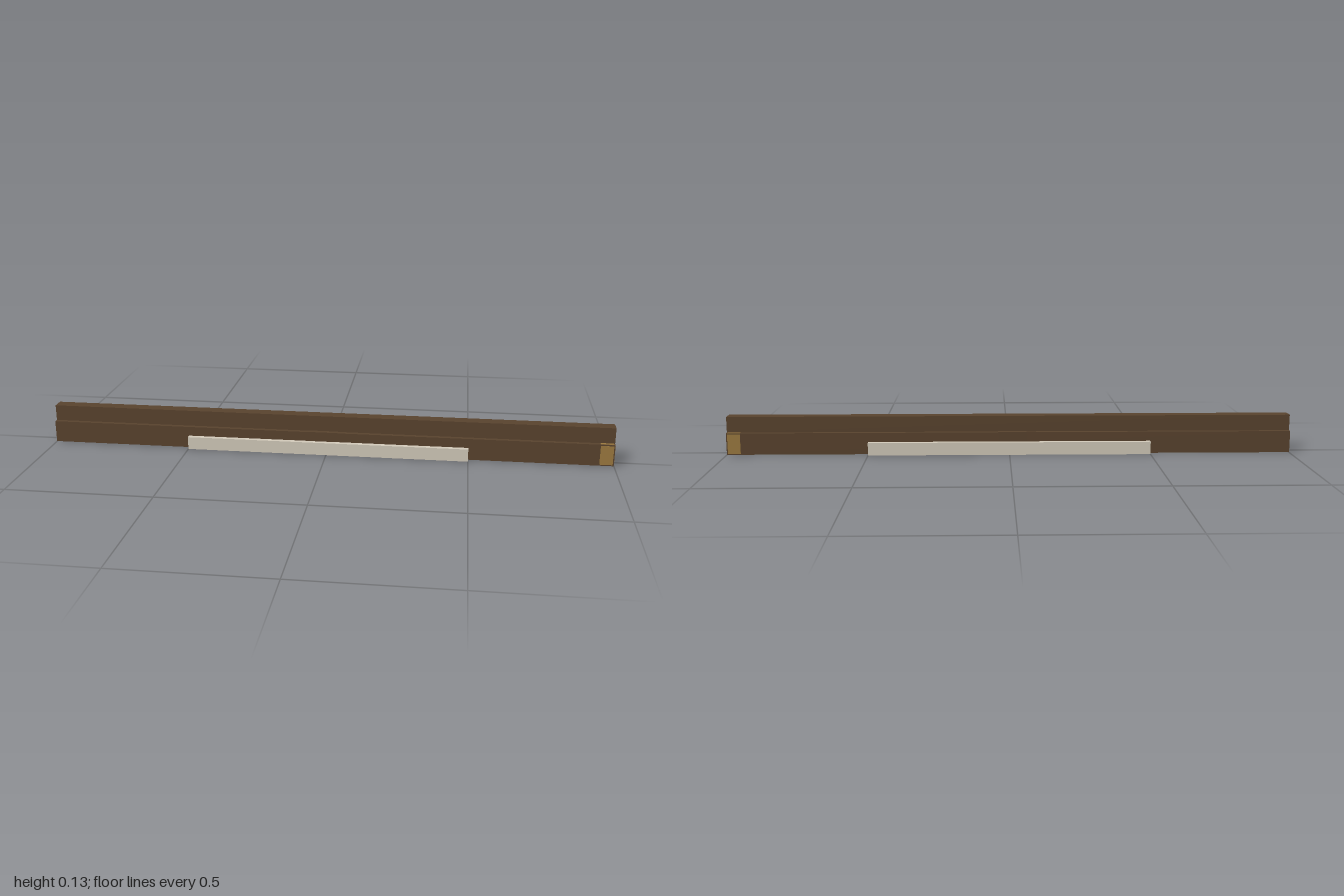
import * as THREE from 'three';

export function createModel() {
  const group = new THREE.Group();
  const mat = (name, color) => {
    const m = new THREE.MeshStandardMaterial({ color });
    m.name = name;
    return m;
  };
  const wood = mat('dark wood', 0x58422d);
  const brass = mat('brass', 0x9a783e);
  const ivory = mat('ivory', 0xd0c8b8);

  // Box given by its lower and upper corner on each axis
  const box = (name, material, [x0, x1], [y0, y1], [z0, z1]) => {
    const mesh = new THREE.Mesh(new THREE.BoxGeometry(x1 - x0, y1 - y0, z1 - z0), material);
    mesh.position.set((x0 + x1) / 2, (y0 + y1) / 2, (z0 + z1) / 2);
    mesh.name = name;
    group.add(mesh);
  };

  // Main beam with the narrower rail on top
  box('beam', wood, [-1, 0.999], [0.001, 0.078], [-0.038, 0.038]);
  box('topRail', wood, [-1, 0.999], [0.078, 0.134], [-0.022, 0.022]);

  // Small collar around the middle of the beam
  box('centreCollar', wood, [-0.06, 0.04], [0.001, 0.079], [-0.0388, 0.0388]);
  box('collarUnderside', brass, [-0.015, 0.04], [0, 0.002], [-0.03, 0.03]);

  // Brass plates wrapping the left end
  box('endPlate', brass, [0.998, 1], [0.006, 0.074], [-0.034, 0.034]);
  box('endPlateUnderside', brass, [0.95, 0.995], [0, 0.002], [-0.034, 0.034]);

  for (const s of [-1, 1]) {
    const span = (a, b) => (s > 0 ? [a, b] : [-b, -a]);
    box('endPlateSide', brass, [0.95, 0.995], [0.005, 0.074], span(0.037, 0.039));
    box('endPlateTop', brass, [0.95, 0.995], [0.077, 0.079], span(0.023, 0.034));
    // Pale grip strips along both sides
    box('sideStrip', ivory, [-0.5, 0.5], [0, 0.045], span(0.038, 0.055));
  }
  return group;
}
